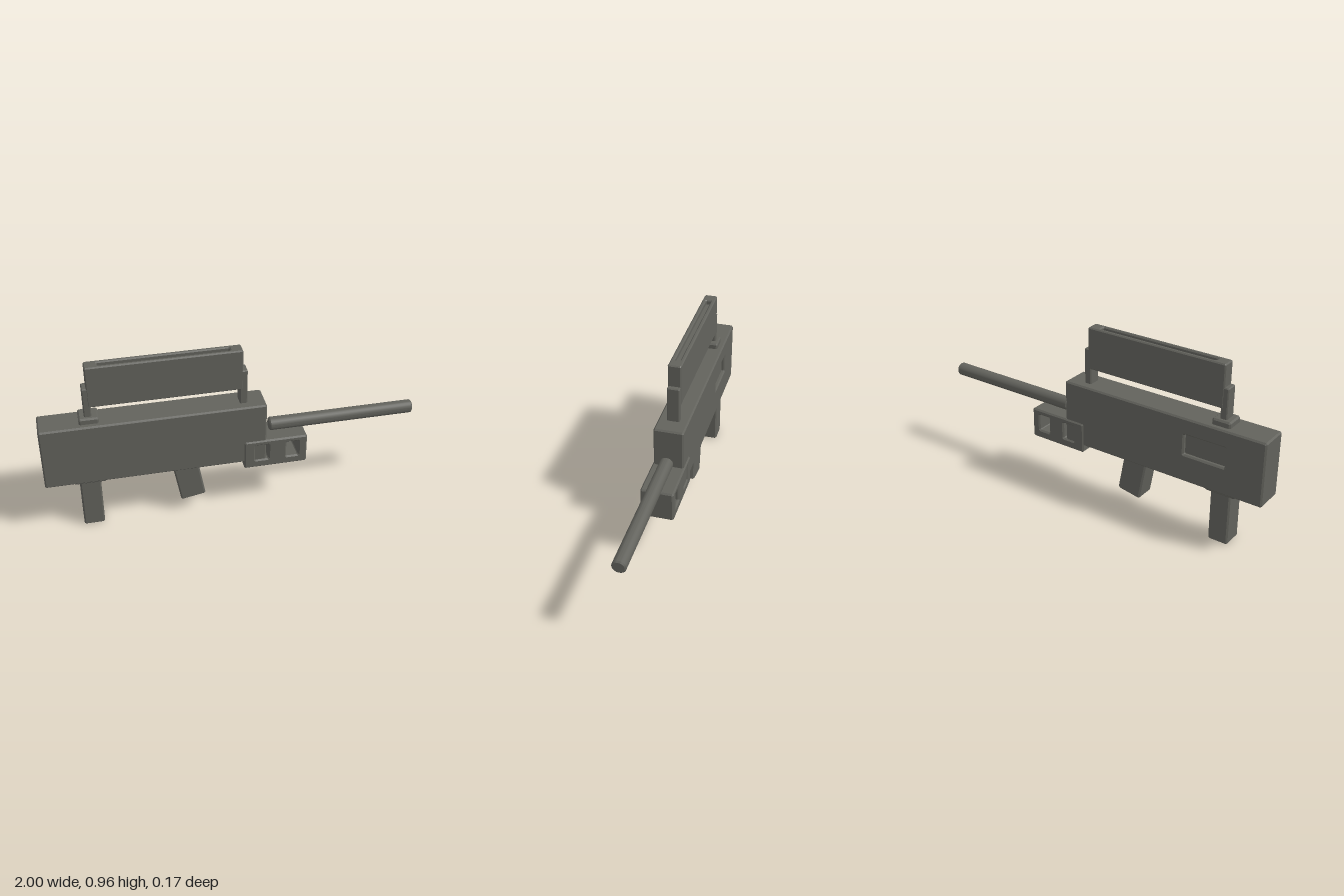
import * as THREE from 'three';
import { toCreasedNormals } from 'three/addons/utils/BufferGeometryUtils.js';

const BEVEL = 0.008;
const material = new THREE.MeshStandardMaterial({ color: 0x62625c });

// Rectangle outline with cut corners
function outline(PathType, x0, x1, y0, y1, c) {
  const corners = [
    [x0 + c, y0], [x1 - c, y0], [x1, y0 + c], [x1, y1 - c],
    [x1 - c, y1], [x0 + c, y1], [x0, y1 - c], [x0, y0 + c],
  ];
  return new PathType(corners.map(([x, y]) => new THREE.Vector2(x, y)));
}

// Block with chamfered edges, extruded along z, with optional rectangular holes
function block(x0, x1, y0, y1, z0, z1, holes = [], b = BEVEL) {
  const shape = outline(THREE.Shape, x0, x1, y0, y1, b);
  for (const [a, c, d, e] of holes) shape.holes.push(outline(THREE.Path, a, c, d, e, 0.004));
  return new THREE.ExtrudeGeometry(shape, {
    depth: z1 - z0 - 2 * b,
    bevelEnabled: true, bevelThickness: b, bevelSize: b, bevelOffset: -b, bevelSegments: 1,
  }).translate(0, 0, z0 + b);
}

// Plain box given by its limits
function box(x0, x1, y0, y1, z0, z1) {
  return new THREE.BoxGeometry(x1 - x0, y1 - y0, z1 - z0)
    .translate((x0 + x1) / 2, (y0 + y1) / 2, (z0 + z1) / 2);
}

export function createModel() {
  const model = new THREE.Group();
  model.name = 'rifle';
  const add = (name, geometry) => {
    const mesh = new THREE.Mesh(geometry, material);
    mesh.name = name;
    model.add(mesh);
    return mesh;
  };

  // Body with a shallow port on its back side; the plug forms the port floor
  const [px0, px1, py0, py1] = [-0.79, -0.56, 0.45, 0.56];
  add('body', block(-1, 0.17, 0.3, 0.65, -0.08, 0.08, [[px0, px1, py0, py1]]));
  add('portFloor', box(px0 - BEVEL, px1 + BEVEL, py0 - BEVEL, py1 + BEVEL, -0.06, 0.08));

  // Fore-end with two windows right through it
  add('foreEnd', block(0.05, 0.393, 0.26, 0.43, -0.087, 0.087,
    [[0.11, 0.182, 0.308, 0.4], [0.28, 0.346, 0.308, 0.4]]));

  // Barrel with chamfered ends
  const profile = [[0, 0], [0.029, 0], [0.036, 0.007], [0.036, 0.793], [0.029, 0.8], [0, 0.8]];
  const barrel = new THREE.LatheGeometry(profile.map(([r, y]) => new THREE.Vector2(r, y)), 24);
  add('barrel', toCreasedNormals(barrel, 0.5)
    .rotateZ(-Math.PI / 2).translate(0.2, 0.475, 0));

  // Carrying handle, extruded upwards, with a slot along the top
  const slot = [-0.675, -0.01, -0.014, 0.014];
  const upright = (geometry) => geometry.rotateX(-Math.PI / 2);
  add('handle', upright(block(-0.74, 0.052, -0.035, 0.035, 0.735, 0.965, [slot], 0.006)));
  add('slotFloor', box(slot[0] - 0.006, slot[1] + 0.006, 0.735, 0.94, -0.02, 0.02));

  // Handle posts and rear foot
  for (const [name, x0, x1] of [['rearPost', -0.763, -0.725], ['frontPost', 0.036, 0.076]]) {
    add(name, block(x0, x1, 0.63, 0.845, -0.033, 0.033, [], 0.005));
  }
  add('postFoot', block(-0.793, -0.692, 0.63, 0.682, -0.052, 0.052));

  // Magazine with its collar
  add('magazine', block(-0.822, -0.712, 0.003, 0.34, -0.057, 0.057));
  add('magazineCollar', block(-0.852, -0.682, 0.287, 0.33, -0.07, 0.07));

  // Grip, slanted so its foot points forward
  const grip = add('grip', block(-0.068, 0.068, -0.15, 0.15, -0.057, 0.057));
  grip.position.set(-0.25, 0.24, 0);
  grip.rotation.z = THREE.MathUtils.degToRad(10);

  return model;
}
